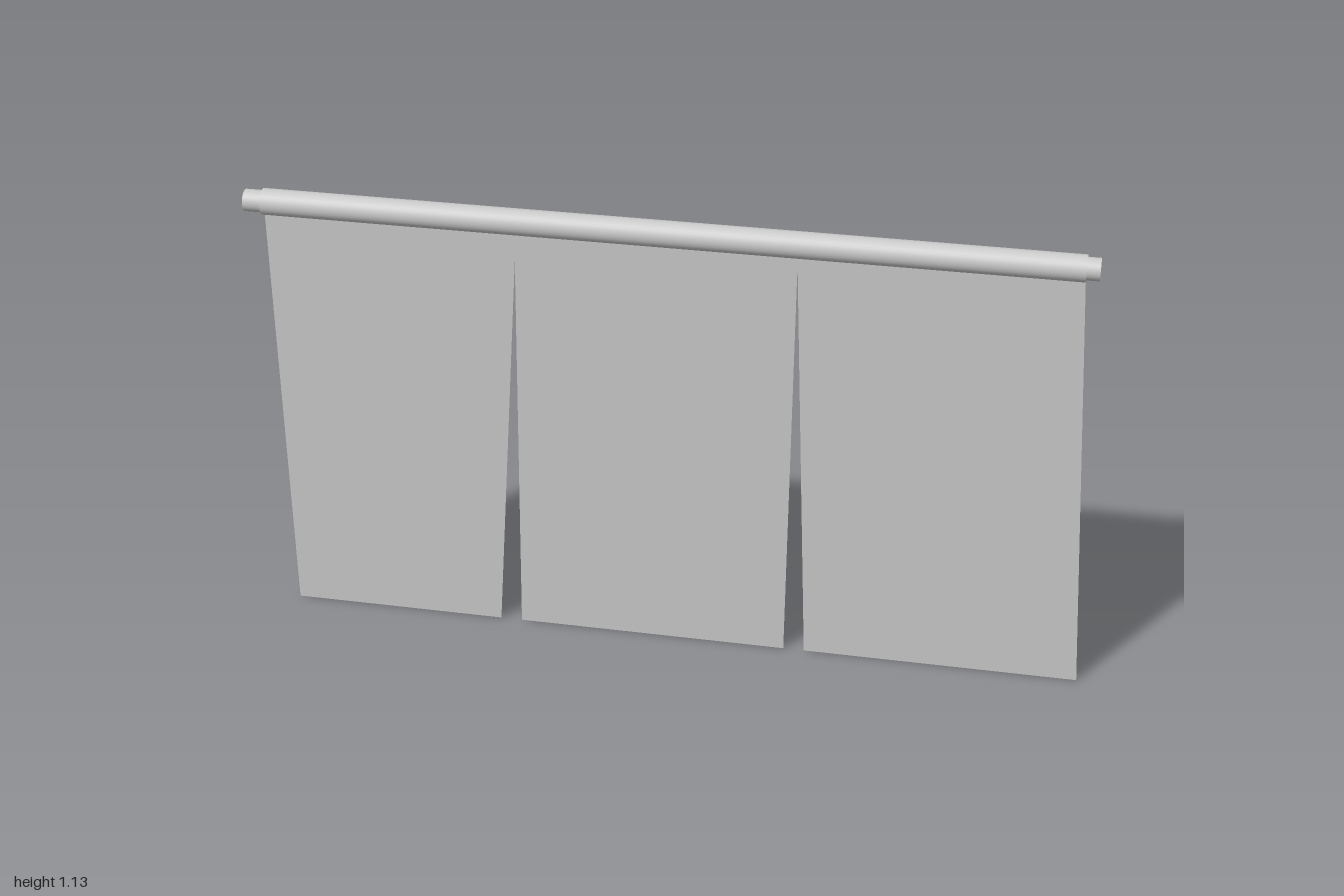
import * as THREE from 'three';

const material = new THREE.MeshStandardMaterial({ color: 0xcccccc });
const clothMaterial = new THREE.MeshStandardMaterial({ color: 0xcccccc, side: THREE.DoubleSide });
const ROD_Y = 1.1;

// Horizontal cylinder running along x from x0 to x1
function bar(name, radius, x0, x1) {
  const geometry = new THREE.CylinderGeometry(radius, radius, x1 - x0, 32);
  geometry.rotateZ(Math.PI / 2);
  const mesh = new THREE.Mesh(geometry, material);
  mesh.name = name;
  mesh.position.set((x0 + x1) / 2, ROD_Y, 0);
  return mesh;
}

export function createModel() {
  const group = new THREE.Group();
  group.name = 'hangingCurtain';

  // Pole, with the hemmed sleeve of the cloth around it
  group.add(bar('pole', 0.026, -1, 0.96));
  group.add(bar('sleeve', 0.031, -0.957, 0.93));

  // Thin flat cloth, cut by two narrow slits into three panels
  const outline = [
    [-0.957, ROD_Y], [-0.957, 0], [-0.43, 0],
    [-0.362, 1.0], [-0.377, 0], [0.285, 0],
    [0.292, 1.05], [0.336, 0], [1, 0], [0.928, ROD_Y],
  ].map(([x, y]) => new THREE.Vector2(x, y));
  const cloth = new THREE.Mesh(new THREE.ShapeGeometry(new THREE.Shape(outline)), clothMaterial);
  cloth.name = 'cloth';
  group.add(cloth);

  return group;
}
